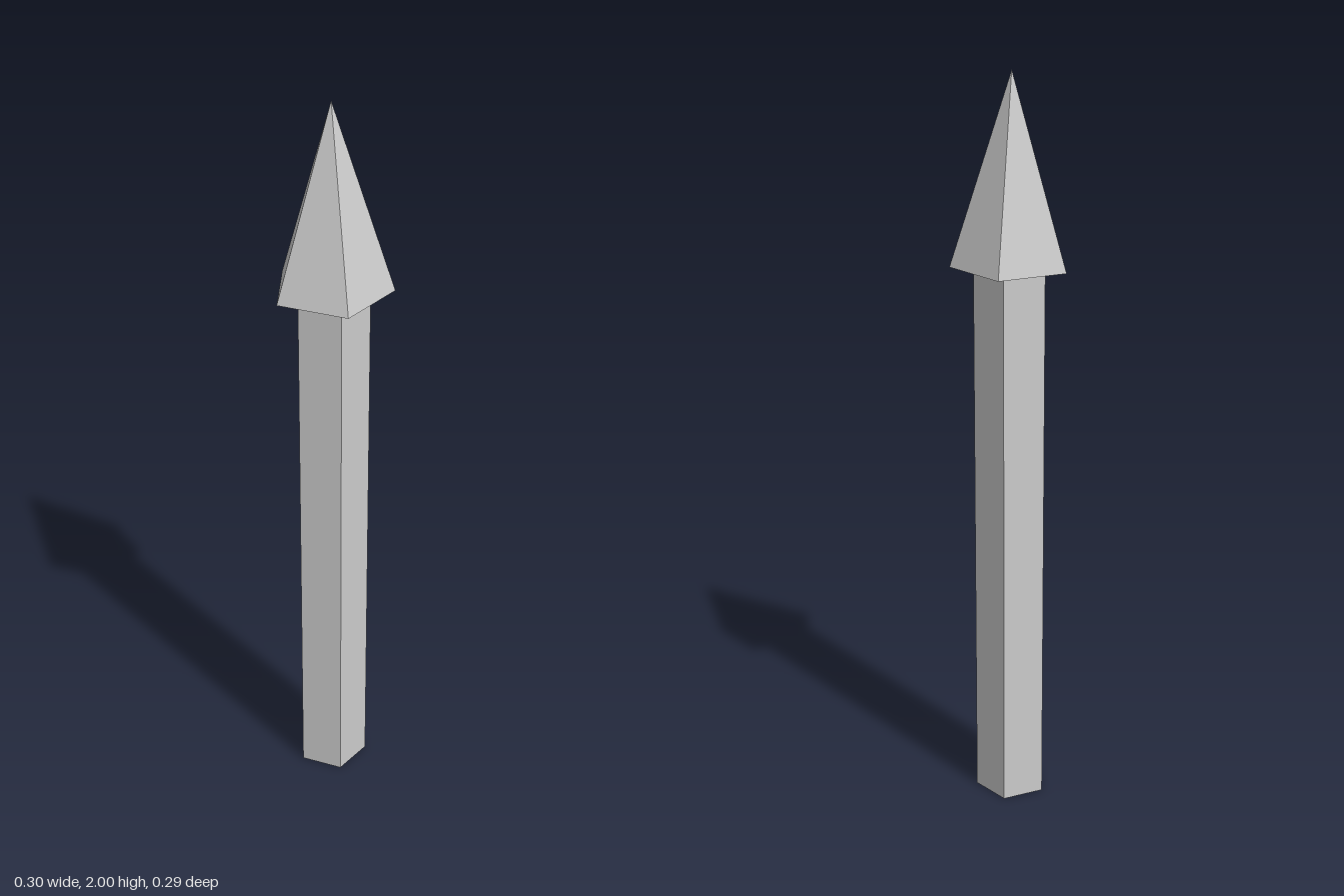
import * as THREE from 'three';

const SIDES = 5;
const HEAD_BASE = 1.506;
const HEIGHT = 2;

export function createModel() {
  const group = new THREE.Group();
  group.name = 'picketStake';
  const material = new THREE.MeshStandardMaterial({ color: 0xcccccc, flatShading: true });

  // Places a five-sided part with a flat side to the front and a corner to the back
  function addPart(name, geometry, bottom, height) {
    const mesh = new THREE.Mesh(geometry, material);
    mesh.name = name;
    mesh.rotation.y = Math.PI;
    mesh.position.set(0, bottom + height / 2, 0.015);
    group.add(mesh);
  }

  // Straight shaft
  addPart('shaft', new THREE.CylinderGeometry(0.098, 0.098, HEAD_BASE, SIDES), 0, HEAD_BASE);

  // Pointed head, wider than the shaft, with a closed underside
  const headHeight = HEIGHT - HEAD_BASE;
  addPart('pointedHead', new THREE.ConeGeometry(0.159, headHeight, SIDES), HEAD_BASE, headHeight);

  return group;
}
